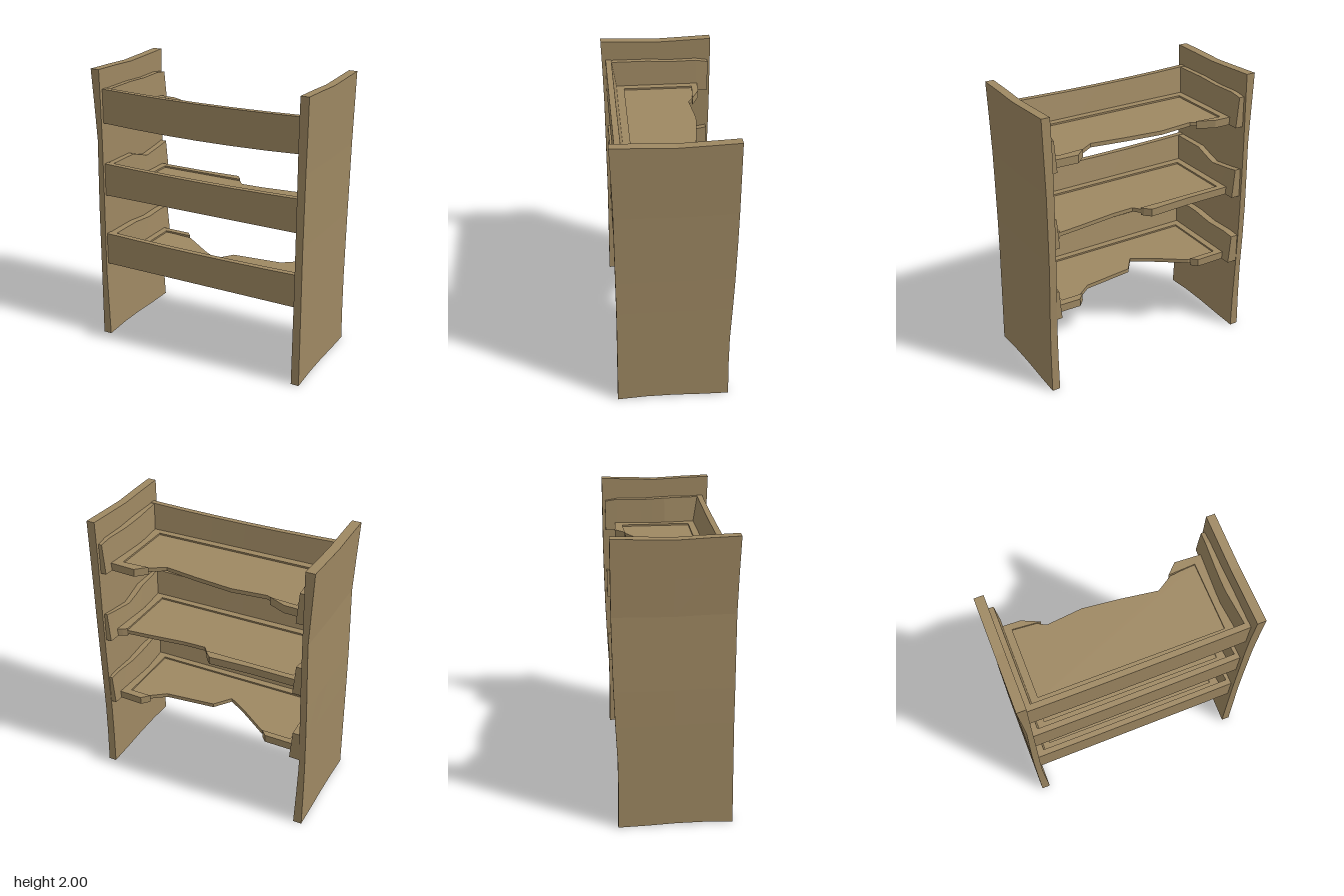
import * as THREE from 'three';

const wood = new THREE.MeshStandardMaterial({ color: 0x9e8862, flatShading: true });
wood.name = 'weathered wood';

// Linear interpolation through [position, value] pairs sorted by position
function curve(points, t) {
  if (t <= points[0][0]) return points[0][1];
  for (let i = 1; i < points.length; i++) {
    const [a, va] = points[i - 1], [b, vb] = points[i];
    if (t <= b) return va + (vb - va) * (t - a) / (b - a);
  }
  return points[points.length - 1][1];
}

// Unit box (each coordinate -0.5..0.5) whose vertices are placed by a rule
function plank(name, segments, rule) {
  const geo = new THREE.BoxGeometry(1, 1, 1, ...segments);
  const p = geo.attributes.position;
  for (let i = 0; i < p.count; i++) {
    p.setXYZ(i, ...rule(p.getX(i), p.getY(i), p.getZ(i)));
  }
  geo.computeVertexNormals();
  const mesh = new THREE.Mesh(geo, wood);
  mesh.name = name;
  return mesh;
}

// Flat slab from an [x, z] outline, standing on height y
function slab(name, outline, y, thickness) {
  const shape = new THREE.Shape(outline.map(([x, z]) => new THREE.Vector2(x, -z)));
  const geo = new THREE.ExtrudeGeometry(shape, { depth: thickness, bevelEnabled: false });
  geo.rotateX(-Math.PI / 2);
  geo.translate(0, y, 0);
  const mesh = new THREE.Mesh(geo, wood);
  mesh.name = name;
  return mesh;
}

// Tall warped end panel; side is +1 for the model's left
function endPanel(side) {
  const outer = side > 0
    ? [[0, 0.79], [0.9, 0.783], [1.5, 0.788], [2, 0.8]]
    : [[0, 0.803], [0.9, 0.8], [1.5, 0.783], [2, 0.803]];
  const inner = side > 0
    ? [[0, 0.733], [1.7, 0.733], [2, 0.741]]
    : [[0, 0.742], [0.55, 0.76], [1.1, 0.75], [2, 0.738]];
  const front = [[0, 0.395], [0.7, 0.385], [1.6, 0.385], [2, 0.397]];
  const back = [[0, -0.375], [0.4, -0.365], [0.9, -0.385], [1.4, -0.393], [2, -0.39]];
  const top = [[-0.5, 2], [-0.25, 1.992], [0, 1.985], [0.25, 1.994], [0.5, 2]];
  const bottom = [[-0.5, 0], [-0.25, 0.004], [0, 0.012], [0.25, 0.012], [0.5, 0]];
  return plank(side > 0 ? 'leftPanel' : 'rightPanel', [1, 8, 4], (x, y, z) => {
    const lo = curve(bottom, z), hi = curve(top, z);
    const h = lo + (hi - lo) * (y + 0.5);
    const f = curve(front, h), b = curve(back, h);
    const outside = x * side > 0;
    return [side * curve(outside ? outer : inner, h), h, b + (f - b) * (z + 0.5)];
  });
}

// One open tray: front board, side boards, floor frame and broken floor
function tray({ name, y, height, sagTop, sagBottom, dip, left, right, edge }) {
  const group = new THREE.Group();
  group.name = name;

  // Front board, thicker toward its foot
  group.add(plank('frontBoard', [6, 1, 1], (x, v, z) => {
    const up = v > 0, bow = 1 - 4 * x * x;
    return [
      -0.008 + x * 1.5,
      up ? y + height - sagTop * bow : y - sagBottom * bow,
      z > 0 ? 0.36 - x * 0.01 : (up ? 0.32 : 0.28) - x * 0.01,
    ];
  }));

  // Side boards with worn upper edges
  for (const side of [1, -1]) {
    group.add(plank(side > 0 ? 'leftBoard' : 'rightBoard', [1, 1, 8], (x, v, z) => {
      const up = v > 0, zz = -0.02 + z * 0.7;
      const wear = curve([[-0.37, 0.02], [-0.28, dip * 0.6], [-0.1, dip], [0.07, 0], [0.33, 0]], zz);
      const worn = side > 0 ? curve([[-0.37, 0.01], [0.05, -0.02], [0.33, 0.01]], zz) : 0;
      return [
        side * (x * side > 0 ? 0.76 : (up ? 0.703 : 0.685) + worn * 0.8),
        up ? y + height - 0.004 - wear : y,
        zz,
      ];
    }));
  }

  // Floor frame, with only stubs of its rear rail remaining
  group.add(slab('floorFrame', [
    [-0.72, 0.33], [0.72, 0.33], [0.72, -0.3], ...left,
    [0.63, -0.25], [0.63, 0.24], [-0.64, 0.24], [-0.64, -0.25], ...right, [-0.72, -0.295],
  ], y, 0.055));

  // Thin floor with a jagged rear edge
  group.add(slab('floorPanel', [
    [-0.66, 0.26], [0.65, 0.26], [0.65, -0.255], ...edge, [-0.66, -0.255],
  ], y + 0.015, 0.028));
  return group;
}

export function createModel() {
  const model = new THREE.Group();
  model.name = 'brokenShelf';
  model.add(endPanel(1), endPanel(-1));

  // Rear rail stubs and floor edges run from the model's left (+x) to its right
  const trays = [
    {
      name: 'lowerTray', y: 0.56, height: 0.235, sagTop: 0.01, sagBottom: 0, dip: 0.02,
      left: [[0.52, -0.305], [0.47, -0.25]],
      right: [[-0.43, -0.25], [-0.47, -0.295]],
      edge: [[0.5, -0.25], [0.38, -0.16], [0.02, -0.12], [-0.07, 0], [-0.2, -0.08], [-0.42, -0.24]],
    },
    {
      name: 'middleTray', y: 1.09, height: 0.235, sagTop: 0.012, sagBottom: 0, dip: 0.06,
      left: [[0.66, -0.27]],
      right: [[0, -0.25], [-0.01, -0.27], [-0.05, -0.31], [-0.35, -0.295]],
      edge: [[0.45, -0.235], [0.2, -0.205], [0.04, -0.2], [0, -0.25]],
    },
    {
      name: 'upperTray', y: 1.62, height: 0.24, sagTop: 0.014, sagBottom: 0.02, dip: 0.01,
      left: [[0.51, -0.31], [0.44, -0.24]],
      right: [[-0.45, -0.235], [-0.57, -0.29]],
      edge: [[0.45, -0.235], [0.34, -0.165], [0.1, -0.2], [-0.17, -0.23], [-0.42, -0.205], [-0.5, -0.25]],
    },
  ];
  for (const t of trays) model.add(tray(t));
  return model;
}
